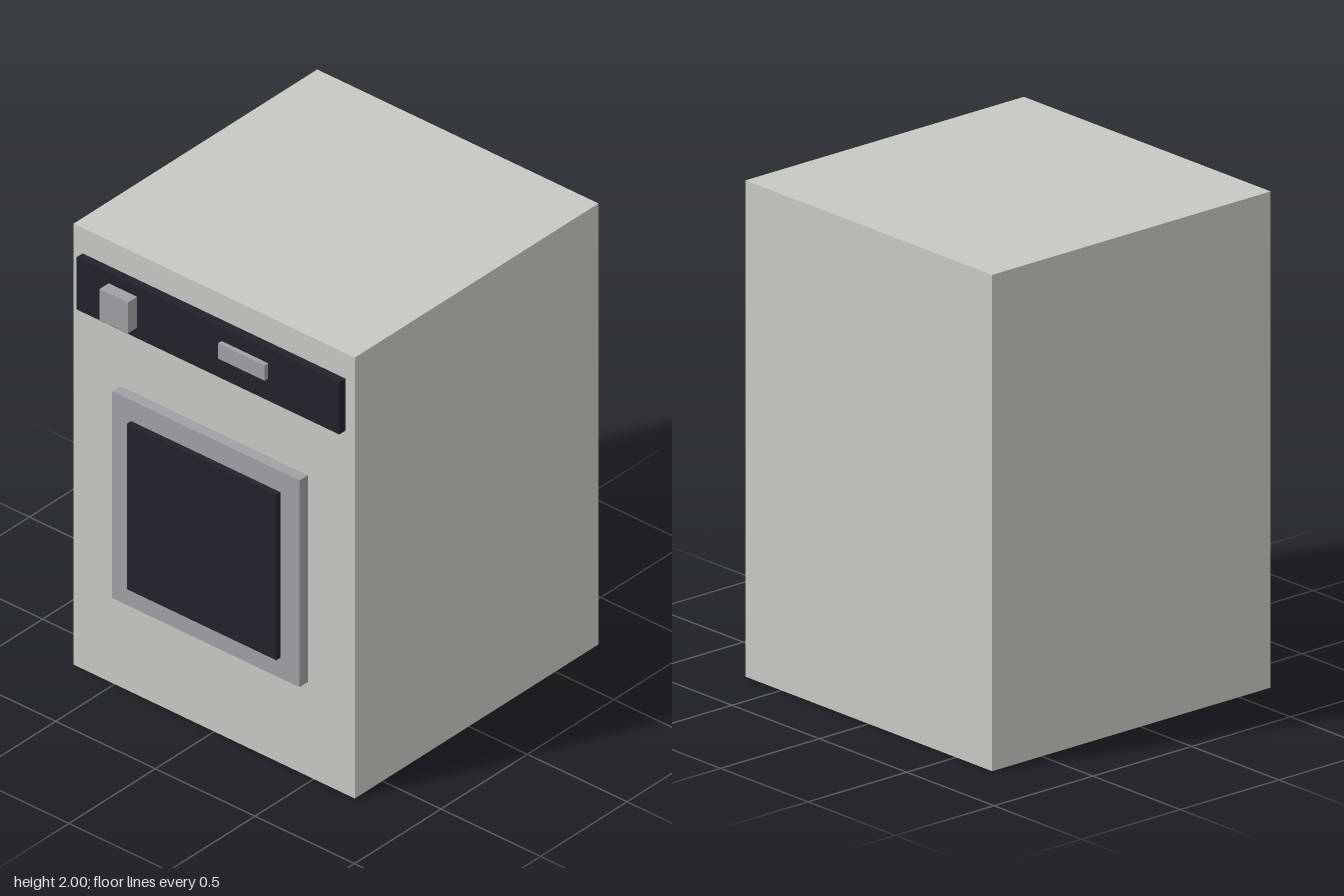
import * as THREE from 'three';

export function createModel() {
  const model = new THREE.Group();
  model.name = 'washingMachine';

  const material = (name, color) => {
    const m = new THREE.MeshStandardMaterial({ color });
    m.name = name;
    return m;
  };
  const enamel = material('pale enamel', 0xc8c8c3);
  const metal = material('grey metal', 0xa0a0a5);
  const dark = material('dark glass', 0x22222c);

  // Box given by its extents along each axis
  const addBox = (name, mat, [x0, x1], [y0, y1], [z0, z1]) => {
    const mesh = new THREE.Mesh(new THREE.BoxGeometry(x1 - x0, y1 - y0, z1 - z0), mat);
    mesh.position.set((x0 + x1) / 2, (y0 + y1) / 2, (z0 + z1) / 2);
    mesh.name = name;
    model.add(mesh);
  };

  const front = 0.66;
  const panelFront = 0.697;
  const doorFront = 0.708;

  // Cabinet
  addBox('cabinet', enamel, [-0.706, 0.706], [0, 2], [-0.75, front]);

  // Control panel with knob and display
  addBox('controlPanel', dark, [-0.66, 0.66], [1.65, 1.885], [front, panelFront]);
  addBox('knob', metal, [-0.497, -0.355], [1.697, 1.838], [panelFront, 0.75]);
  addBox('display', metal, [0.07, 0.303], [1.75, 1.82], [panelFront, 0.717]);

  // Door frame and window
  addBox('doorFrame', metal, [-0.47, 0.47], [0.427, 1.365], [front, doorFront]);
  addBox('doorWindow', dark, [-0.375, 0.375], [0.521, 1.271], [doorFront, 0.733]);

  return model;
}
